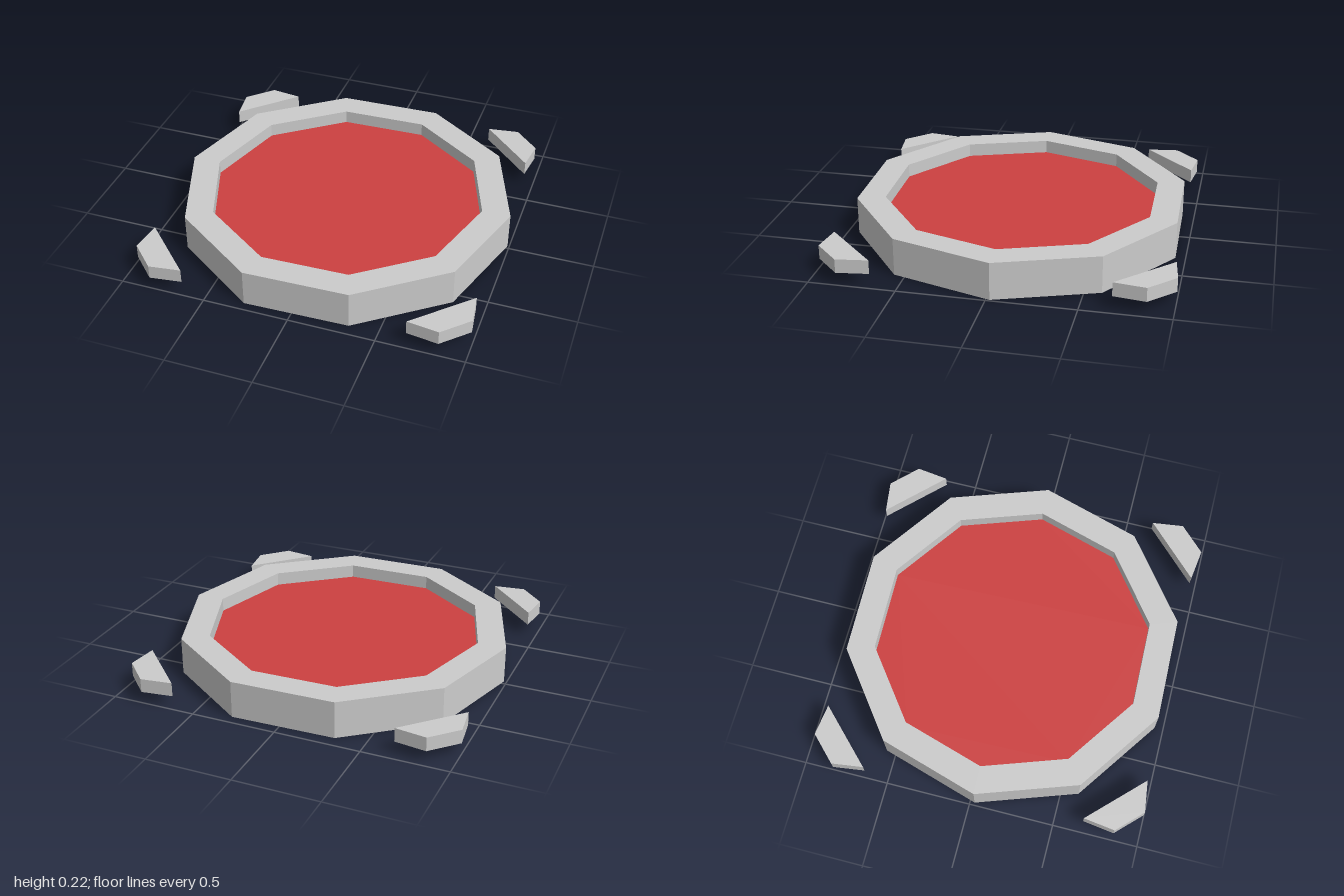
import * as THREE from 'three';

const grey = new THREE.MeshStandardMaterial({ color: 0xcccccc, flatShading: true });
const red = new THREE.MeshStandardMaterial({ color: 0xcc4040, flatShading: true });

// Regular ten-sided outline, turned slightly; plan coordinates are (x, -z)
function decagon(radius) {
  return Array.from({ length: 10 }, (_, i) => {
    const a = THREE.MathUtils.degToRad(1.4 + 36 * i);
    return new THREE.Vector2(radius * Math.cos(a) + 0.003, radius * Math.sin(a) - 0.003);
  });
}

// Flat slab: a plan outline raised between two heights
function slab(name, shape, bottom, top, material) {
  const geometry = new THREE.ExtrudeGeometry(shape, { depth: top - bottom, bevelEnabled: false });
  geometry.rotateX(-Math.PI / 2).translate(0, bottom, 0);
  const mesh = new THREE.Mesh(geometry, material);
  mesh.name = name;
  return mesh;
}

export function createModel() {
  const model = new THREE.Group();
  model.name = 'decagonalPad';

  // Thick outer ring
  const ring = new THREE.Shape(decagon(0.987));
  ring.holes.push(new THREE.Path(decagon(0.82).reverse()));
  model.add(slab('rim', ring, 0, 0.22, grey));

  // Red panel recessed inside the ring
  model.add(slab('centrePanel', new THREE.Shape(decagon(0.82)), 0.1, 0.14, red));

  // Four free-standing corner wedges, mirrored, each slightly shifted
  const wedge = [[0.66, 0.96], [0.845, 0.985], [0.99, 0.84], [0.965, 0.655]];
  const corners = [
    ['frontLeftWedge', 1, 1, 0, 0],
    ['frontRightWedge', -1, 1, 0.018, 0.01],
    ['backLeftWedge', 1, -1, -0.024, -0.016],
    ['backRightWedge', -1, -1, -0.01, 0.017],
  ];
  for (const [name, sx, sz, dx, dz] of corners) {
    const outline = wedge.map(([x, z]) => new THREE.Vector2(sx * x + dx, -(sz * z + dz)));
    model.add(slab(name, new THREE.Shape(outline), 0.07, 0.152, grey));
  }
  return model;
}
